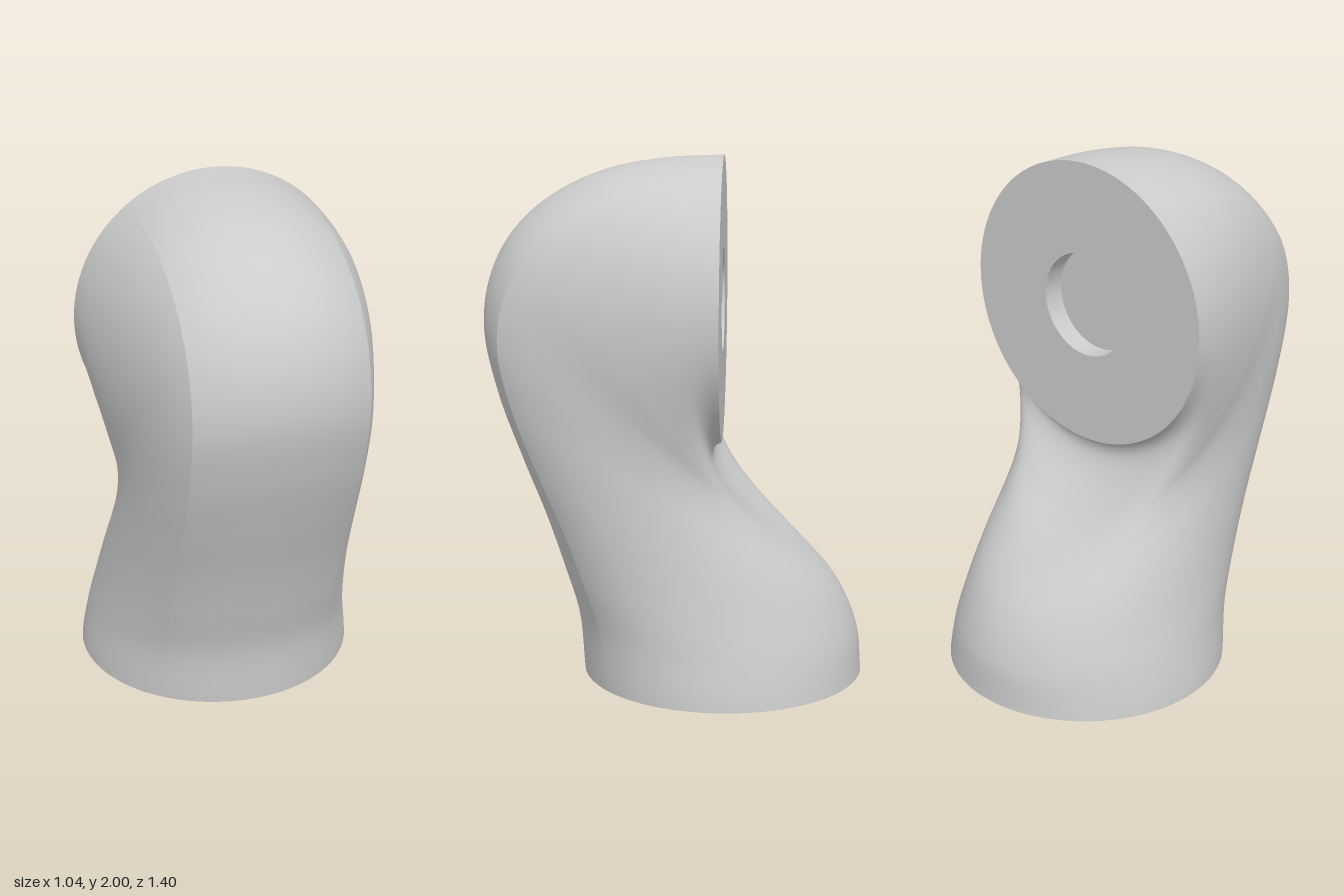
import * as THREE from 'three';

const R = 0.52;         // radius of both end faces
const PLUG = 0.19;      // radius of peg and socket
const AXIS_Z = -0.175;  // centre of the base
const FACE_Y = 1.48;    // centre of the rear face
const FACE_Z = -0.17;
const CREASE = Math.acos(0.315 / R); // angle of the edge between front and side

// Side profile of the bend as [y, z], and half widths at even steps along it
const rail = (points) => new THREE.CatmullRomCurve3(points.map(([y, z]) => new THREE.Vector3(0, y, z)));
const outerRail = rail([
  [0.085, 0.345], [0.31, 0.365], [0.5, 0.42], [0.71, 0.49], [0.925, 0.573], [1.16, 0.655], [1.39, 0.7],
  [1.57, 0.675], [1.725, 0.595], [1.85, 0.46], [1.945, 0.265], [1.988, 0.05], [2, FACE_Z],
]);
const innerRail = rail([
  [0.085, -0.695], [0.25, -0.677], [0.42, -0.602], [0.57, -0.463], [0.72, -0.278],
  [0.84, -0.167], [0.905, -0.138], [0.945, -0.147], [0.96, FACE_Z],
]);
const WIDTHS = [0.52, 0.493, 0.465, 0.445, 0.431, 0.426, 0.437, 0.467, 0.492, 0.51, 0.52];
const widthCurve = new THREE.SplineCurve(WIDTHS.map((w, i) => new THREE.Vector2(i, w)));

// Cross-section point: constant arc in front, pinched sides, elliptical back
function sectionPoint(angle, width, depth) {
  const c = Math.cos(angle), s = Math.sin(angle);
  const cc = Math.cos(CREASE), sc = Math.sin(CREASE);
  if (s >= sc - 1e-9) return [R * c, depth - R + R * s];
  if (s < 0) return [width * c, depth * s];
  const x = R * cc + (width - R * cc) * (Math.abs(c) - cc) / (1 - cc);
  return [Math.sign(c) * x, (depth - R + R * sc) * s / sc];
}

// Loft one strip of the section between two angles along the rails
function loft(from, to, cols, rows = 120) {
  const positions = [], index = [];
  for (let i = 0; i <= rows; i++) {
    const t = i / rows;
    const outer = outerRail.getPointAt(t), inner = innerRail.getPointAt(t);
    const width = widthCurve.getPoint(t).y;
    const mid = outer.clone().add(inner).multiplyScalar(0.5);
    const dir = outer.clone().sub(inner);
    const depth = dir.length() / 2;
    dir.normalize();
    for (let j = 0; j <= cols; j++) {
      const [x, u] = sectionPoint(from + (to - from) * j / cols, width, depth);
      positions.push(x, mid.y + dir.y * u, mid.z + dir.z * u);
      if (i < rows && j < cols) {
        const a = i * (cols + 1) + j, b = a + cols + 1;
        index.push(a, b, a + 1, b, b + 1, a + 1);
      }
    }
  }
  const geometry = new THREE.BufferGeometry();
  geometry.setAttribute('position', new THREE.Float32BufferAttribute(positions, 3));
  geometry.setIndex(index);
  geometry.computeVertexNormals();
  return geometry;
}

export function createModel() {
  const group = new THREE.Group();
  group.name = 'curvedConnector';
  const material = new THREE.MeshStandardMaterial({ color: 0xcccccc });
  const inside = new THREE.MeshStandardMaterial({ color: 0xcccccc, side: THREE.BackSide });
  const add = (name, geometry, mat = material) => {
    const mesh = new THREE.Mesh(geometry, mat);
    mesh.name = name;
    group.add(mesh);
    return mesh;
  };

  // Bent body, split along the two creases
  add('frontPanel', loft(CREASE, Math.PI - CREASE, 32));
  add('sideAndBackPanel', loft(Math.PI - CREASE, 2 * Math.PI + CREASE, 96));

  // Base with a fine bevel, and the peg below it
  add('baseBevel', new THREE.CylinderGeometry(R, 0.505, 0.005, 96)).position.set(0, 0.0825, AXIS_Z);
  add('basePeg', new THREE.CylinderGeometry(PLUG, PLUG, 0.08, 64)).position.set(0, 0.04, AXIS_Z);

  // Rear face with a round socket
  const face = add('rearFace', new THREE.RingGeometry(PLUG, R, 96));
  face.position.set(0, FACE_Y, FACE_Z);
  face.rotation.y = Math.PI;

  const wall = add('socketWall', new THREE.CylinderGeometry(PLUG, PLUG, 0.08, 64, 1, true), inside);
  wall.rotation.x = Math.PI / 2;
  wall.position.set(0, FACE_Y, FACE_Z + 0.04);

  const floor = add('socketFloor', new THREE.CircleGeometry(PLUG, 64));
  floor.position.set(0, FACE_Y, FACE_Z + 0.08);
  floor.rotation.y = Math.PI;

  return group;
}
